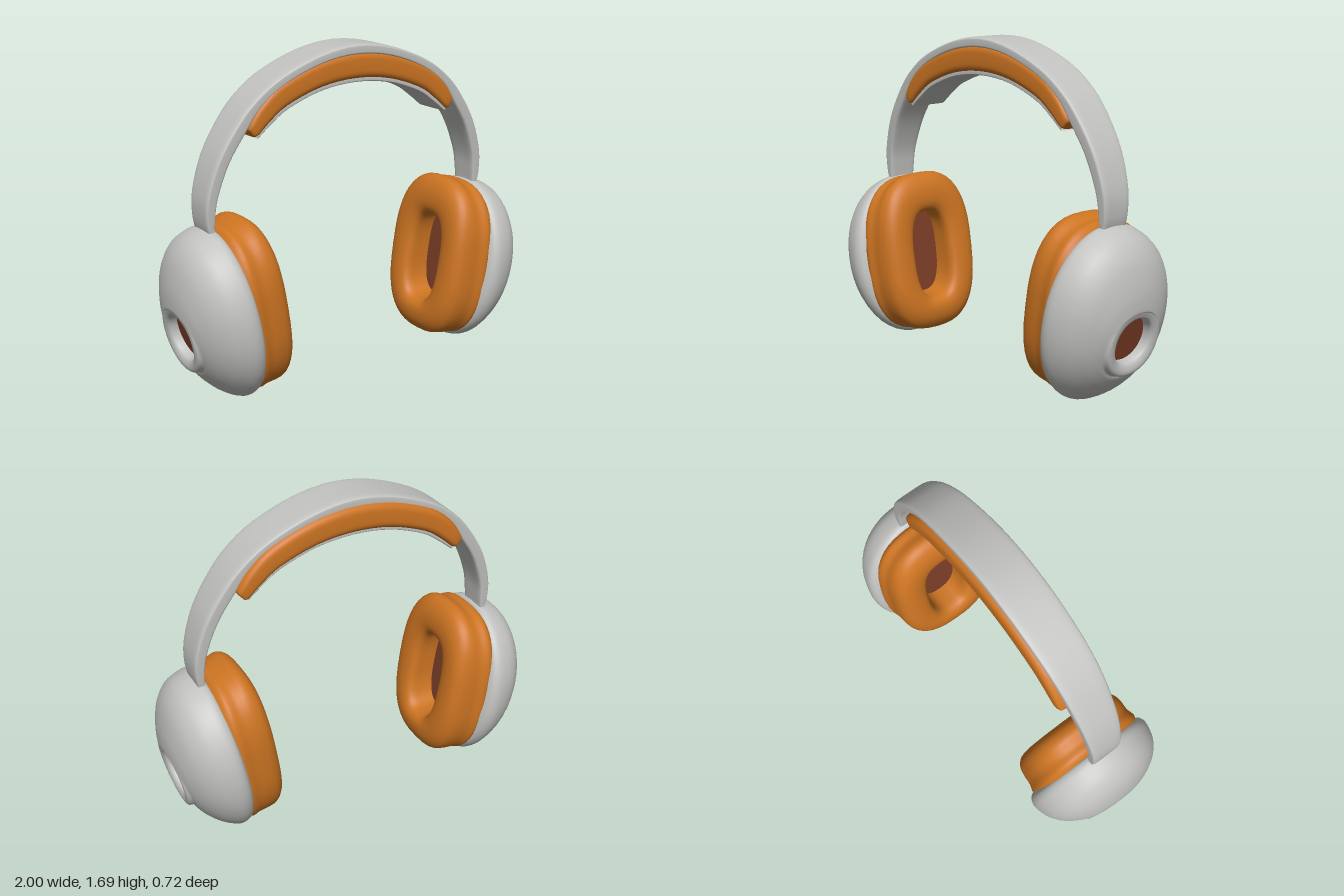
import * as THREE from 'three';

const mat = (name, color) => {
  const m = new THREE.MeshStandardMaterial({ color, side: THREE.DoubleSide });
  m.name = name;
  return m;
};

// Smooth interpolation between four neighbouring rows
const spline = (a, b, c, d, t) =>
  b.map((v, k) => v + 0.5 * t * (c[k] - a[k] + t * (2 * a[k] - 5 * v + 4 * c[k] - d[k] + t * (3 * (v - c[k]) + d[k] - a[k]))));

const refine = (rows, steps) => {
  const out = [];
  const at = (i) => rows[Math.min(Math.max(i, 0), rows.length - 1)];
  for (let i = 0; i < rows.length - 1; i++)
    for (let s = 0; s < steps; s++) out.push(spline(at(i - 1), at(i), at(i + 1), at(i + 2), s / steps));
  out.push(at(rows.length - 1));
  return out;
};

// Skin over rings. Row: lower point x, y; upper point x, y; half depth; depth offset.
// The power squares off the rings, side mirrors them in x.
function loft(name, rows, power, material, { side = 1, steps = 4, seg = 48 } = {}) {
  const rings = steps > 1 ? refine(rows, steps) : rows;
  const pos = [], index = [];
  const round = (v) => Math.sign(v) * Math.abs(v) ** (2 / power);
  for (const [ax, ay, bx, by, z, zc = 0] of rings)
    for (let j = 0; j < seg; j++) {
      const p = (j / seg) * Math.PI * 2;
      const c = round(Math.cos(p)) / 2, s = round(Math.sin(p));
      pos.push(side * ((ax + bx) / 2 + (bx - ax) * c), (ay + by) / 2 + (by - ay) * c, zc + z * s);
    }
  for (let i = 0; i < rings.length - 1; i++)
    for (let j = 0; j < seg; j++) {
      const a = i * seg + j, b = i * seg + ((j + 1) % seg), c = a + seg, d = b + seg;
      if (side > 0) index.push(a, b, c, b, d, c);
      else index.push(a, c, b, b, c, d);
    }
  const g = new THREE.BufferGeometry();
  g.setAttribute('position', new THREE.Float32BufferAttribute(pos, 3));
  g.setIndex(index);
  g.computeVertexNormals();
  const mesh = new THREE.Mesh(g, material);
  mesh.name = name;
  return mesh;
}

// Flat disc filling one ring
const centre = ([ax, ay, bx, by]) => [(ax + bx) / 2, (ay + by) / 2, (ax + bx) / 2, (ay + by) / 2, 0, 0];

// Full arch from its half, listed from the middle outwards
const arch = (half, z, zc) => {
  const rows = half.map(([ax, ay, bx, by, w = z]) => [ax, ay, bx, by, w, zc]);
  const left = rows.slice(1).reverse().map(([ax, ay, bx, by, w, o]) => [-ax, ay, -bx, by, w, o]);
  return [...left, ...rows];
};

export function createModel() {
  const model = new THREE.Group();
  model.name = 'headphones';
  const grey = mat('lightGrey', 0xc2c2c0);
  const orange = mat('orange', 0xcc7422);
  const brown = mat('brown', 0x7c3e28);

  // Headband: thin shell tapering into the two arms
  model.add(loft('headband', arch([
    [0, 1.635, 0, 1.69, 0.118], [0.2, 1.61, 0.21, 1.66, 0.118], [0.4, 1.535, 0.43, 1.575, 0.115],
    [0.535, 1.44, 0.575, 1.475, 0.11], [0.615, 1.33, 0.675, 1.365, 0.105], [0.705, 1.19, 0.77, 1.21, 0.097],
    [0.765, 1.03, 0.825, 1.04, 0.087], [0.78, 0.92, 0.83, 0.92, 0.08], [0.785, 0.85, 0.815, 0.85, 0.075],
  ], 0.11, -0.004), 6, grey));

  // Padding under the band, bulging to the back
  model.add(loft('headbandPad', arch([
    [0, 1.508, 0, 1.66], [0.2, 1.487, 0.215, 1.632], [0.39, 1.422, 0.43, 1.55],
    [0.49, 1.355, 0.545, 1.46], [0.555, 1.3, 0.607, 1.372, 0.125], [0.58, 1.305, 0.61, 1.34, 0.1],
    [0.592, 1.325, 0.592, 1.325, 0],
  ], 0.13, -0.015), 4, orange));

  // Grey lining below the padding
  model.add(loft('headbandLining', arch([
    [0, 1.498, 0, 1.53], [0.198, 1.477, 0.203, 1.51], [0.385, 1.412, 0.4, 1.44],
    [0.485, 1.346, 0.5, 1.37], [0.555, 1.29, 0.57, 1.31],
  ], 0.108, -0.012), 6, grey));

  // Ear cup running from its inner rim out to the socket lip and down into the socket
  const cup = [
    [0.61, 0.05, 0.765, 0.855, 0.32], [0.635, 0.012, 0.78, 0.873, 0.35], [0.69, 0, 0.82, 0.873, 0.36],
    [0.77, 0.04, 0.905, 0.83, 0.335], [0.84, 0.1, 0.965, 0.74, 0.28], [0.88, 0.15, 0.995, 0.61, 0.215],
    [0.89, 0.172, 0.998, 0.51, 0.178], [0.922, 0.176, 0.992, 0.495, 0.165], [0.932, 0.2, 0.986, 0.48, 0.14],
    [0.92, 0.235, 0.975, 0.465, 0.116], [0.88, 0.245, 0.935, 0.465, 0.112],
  ].map((r) => [...r, 0]);

  // Ear cushion running from the floor of the opening, over the lip, to the cup
  const cushion = [
    [0.61, 0.24, 0.68, 0.7, 0.12], [0.55, 0.24, 0.63, 0.7, 0.12], [0.49, 0.235, 0.575, 0.705, 0.122],
    [0.455, 0.215, 0.55, 0.73, 0.145], [0.44, 0.175, 0.543, 0.775, 0.2], [0.447, 0.115, 0.557, 0.84, 0.255],
    [0.48, 0.065, 0.592, 0.893, 0.288], [0.53, 0.05, 0.64, 0.91, 0.3], [0.58, 0.045, 0.695, 0.885, 0.303],
    [0.62, 0.038, 0.745, 0.88, 0.315], [0.645, 0.07, 0.775, 0.845, 0.305],
  ].map((r) => [...r, 0]);

  for (const side of [1, -1]) {
    const ear = new THREE.Group();
    ear.name = side > 0 ? 'leftEarpiece' : 'rightEarpiece';
    const flat = { side, steps: 1 };
    const socket = cup[cup.length - 1];
    ear.add(
      loft('earCup', cup, 2.1, grey, { side }),
      loft('socketDisc', [socket, centre(socket)], 2.1, brown, flat),
      loft('earCushion', cushion, 2.7, orange, { side }),
      loft('cushionFloor', [centre(cushion[0]), cushion[0]], 2.7, brown, flat),
    );
    model.add(ear);
  }
  return model;
}
